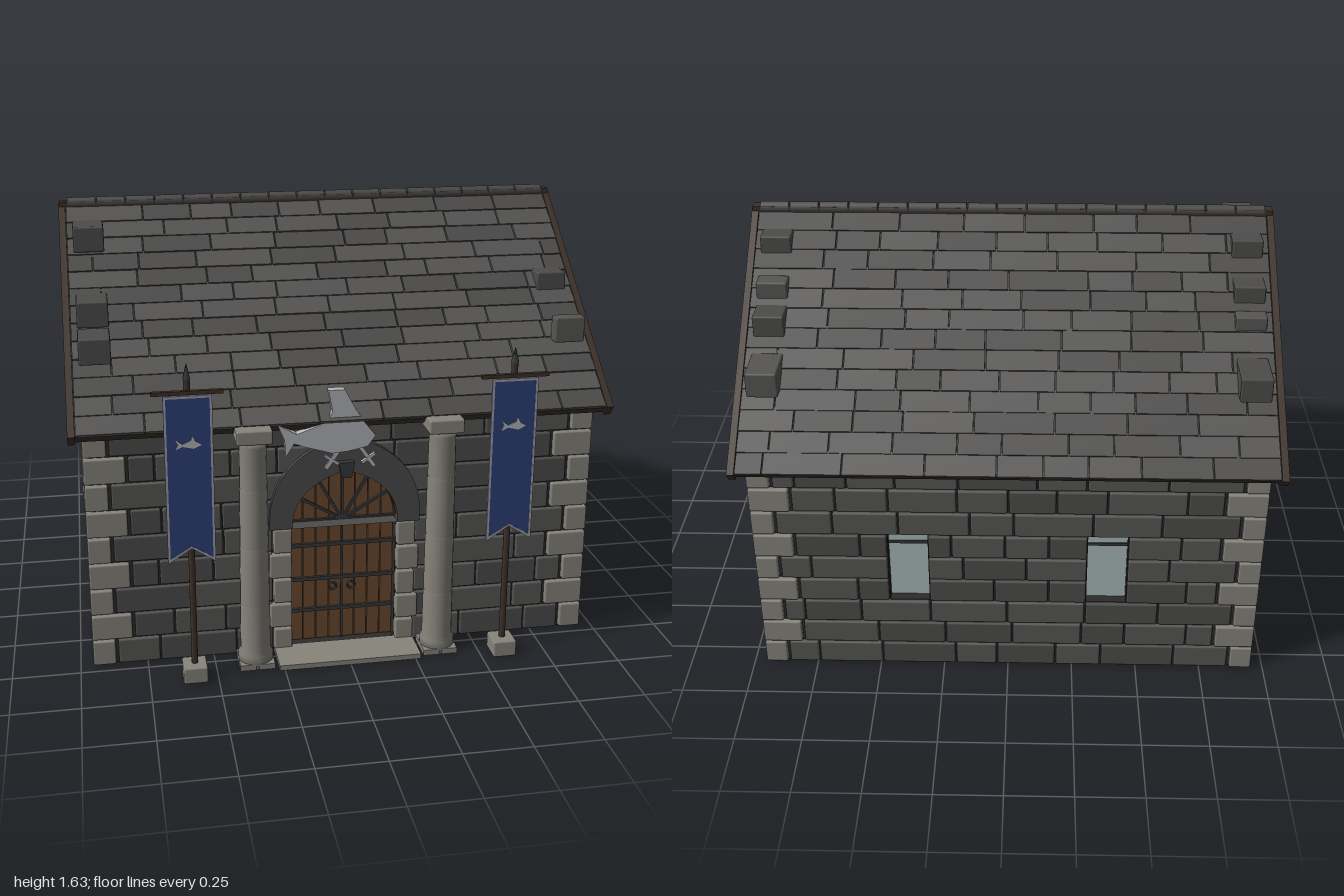
import * as THREE from 'three';
import { mergeGeometries } from 'three/addons/utils/BufferGeometryUtils.js';
import { RoundedBoxGeometry } from 'three/addons/geometries/RoundedBoxGeometry.js';

const ROW = 0.1035, ZC = -0.06, FRONT = 0.648, BACK = -0.768, ANG = 0.672, RIDGE = 1.585;
const COLORS = { stone: 0x575655, stoneDark: 0x4d4c4b, mortar: 0x2b2b2a, quoin: 0x87847c, roof: 0x545352, roofDark: 0x4b4a49,
  wood: 0x3d3028, door: 0x6b4a30, iron: 0x36383a, glass: 0xa9b9b8, cloth: 0x2c4078, trim: 0x9a9cab, silver: 0xb4b6ba };

export function createModel() {
  const root = new THREE.Group();
  const mats = {};
  for (const k in COLORS) mats[k] = new THREE.MeshStandardMaterial({ color: COLORS[k] });
  let seed = 7;
  const rnd = () => (seed = (seed * 16807) % 2147483647) / 2147483647;

  // Helpers
  const part = (name, mat, geos, parent = root) => {
    const mesh = new THREE.Mesh(mergeGeometries(geos.map(g => g.index ? g.toNonIndexed() : g)), mats[mat]);
    mesh.name = name;
    parent.add(mesh);
    return mesh;
  };
  const box = (w, h, d, x, y, z, rz = 0) => new THREE.BoxGeometry(w, h, d).rotateZ(rz).translate(x, y, z);
  const block = (w, h, d, x, y, z) => new RoundedBoxGeometry(w - 0.006, h - 0.006, d, 1, 0.007).translate(x, y, z);
  const cyl = (r0, r1, h, x, y, z, n = 10) => new THREE.CylinderGeometry(r0, r1, h, n).translate(x, y, z);
  const extrude = (shape, depth, z = 0) => new THREE.ExtrudeGeometry(shape, { depth, bevelEnabled: false, curveSegments: 10 }).translate(0, 0, z);
  const poly = pts => new THREE.Shape(pts.map(p => new THREE.Vector2(...p)));
  const arch = (path, c, hw, y0, spring, apex) => {
    const k = spring + (apex - spring) * 0.75;
    path.moveTo(c - hw, y0); path.lineTo(c + hw, y0); path.lineTo(c + hw, spring);
    path.quadraticCurveTo(c + hw, k, c, apex); path.quadraticCurveTo(c - hw, k, c - hw, spring);
    path.closePath();
    return path;
  };
  // Random stone lengths between a and b, leaving out the cut ranges
  const stones = (a, b, cuts, odd) => {
    const out = [];
    let from = a;
    for (const [c0, c1] of [...cuts, [b, b]]) {
      let p = from, first = odd;
      while (p < c0 - 0.002) {
        let l = (0.16 + 0.14 * rnd()) * (first ? 0.55 : 1);
        first = false;
        if (c0 - p - l < 0.07) l = c0 - p;
        out.push([p + l / 2, l]);
        p += l;
      }
      from = c1;
    }
    return out;
  };
  const pick = (lists, g) => lists[rnd() < 0.6 ? 0 : 1].push(g);

  // Long front and back walls with corner stones
  for (const [name, z] of [['front', FRONT], ['back', BACK]]) {
    const lists = [[], []], corners = [];
    for (let i = 0; i < 9; i++) {
      const y = (i + 0.5) * ROW, w = i % 2 ? 0.155 : 0.09;
      let cuts = [];
      if (name === 'front') {
        const hw = [0.27, 0.27, 0.27, 0.27, 0.27, 0.25, 0.2, 0.09, 0][i];
        if (hw) cuts = [[-hw, hw]];
      } else if (i > 2 && i < 6) cuts = [[-0.45, -0.3], [0.3, 0.45]];
      for (const [u, l] of stones(-0.95 + w, 0.95 - w, cuts, i % 2)) pick(lists, block(l, ROW, 0.12, u, y, z));
      for (const s of [-1, 1]) corners.push(block(w, ROW, 0.13, s * (0.955 - w / 2), y, z));
    }
    for (const s of [-1, 1]) corners.push(block(0.12, 0.06, 0.1, s * 0.89, 0.96, z - Math.sign(z) * 0.01));
    const core = poly([[-0.94, 0], [0.94, 0], [0.94, 0.97], [-0.94, 0.97]]);
    if (name === 'front') core.holes.push(arch(new THREE.Path(), 0, 0.2, 0.004, 0.5, 0.73));
    else for (const c of [-0.375, 0.375]) core.holes.push(poly([[c - 0.075, 0.31], [c + 0.075, 0.31], [c + 0.075, 0.62], [c - 0.075, 0.62]]));
    part(name + 'Mortar', 'mortar', [extrude(core, 0.09, z - 0.045)]);
    part(name + 'Stones', 'stone', lists[0]);
    part(name + 'DarkStones', 'stoneDark', lists[1]);
    part(name + 'CornerStones', 'quoin', corners);
  }
  part('backWindowGlass', 'glass', [-0.375, 0.375].map(x => box(0.15, 0.31, 0.02, x, 0.465, BACK)));
  part('backWindowFrames', 'iron', [-0.375, 0.375].flatMap(x => [box(0.15, 0.012, 0.03, x, 0.56, BACK), box(0.15, 0.015, 0.06, x, 0.613, BACK)]));

  // Gable walls, with stepped stones rising through the roof: [z0, z1, top]
  const steps = {
    '-1': [[-0.7, -0.54, 1.238], [-0.46, -0.4, 1.36], [-0.37, -0.22, 1.44], [-0.22, -0.14, 1.56], [0, 0.16, 1.56], [0.28, 0.43, 1.335], [0.43, 0.585, 1.238]],
    '1': [[-0.7, -0.54, 1.238], [-0.49, -0.37, 1.36], [-0.37, -0.3, 1.44], [-0.22, -0.14, 1.56], [0.26, 0.35, 1.36], [0.53, 0.585, 1.238]],
  };
  const windows = [-0.41, 0.3];
  for (const s of [-1, 1]) {
    const side = s > 0 ? 'left' : 'right', x = s * 0.89, lists = [[], []];
    for (let i = 0; i < 15; i++) {
      const y = (i + 0.5) * ROW, half = Math.min(0.646, (1.57 - y) / 0.795);
      if (half < 0.04) continue;
      const cuts = i > 1 && i < 7 ? windows.map(c => [c - 0.085, c + 0.085]) : [];
      for (const [u, l] of stones(ZC - half, ZC + half, cuts, i % 2)) pick(lists, block(0.12, ROW, l, x, y, u));
    }
    for (const [a, b, top] of steps[s]) pick(lists, block(0.122, 0.104, b - a, x, top - 0.052, (a + b) / 2));
    part(side + 'GableStones', 'stone', lists[0]);
    part(side + 'GableDarkStones', 'stoneDark', lists[1]);

    const core = poly([[BACK, 0], [FRONT, 0], [FRONT, 0.98], [ZC, 1.56], [BACK, 0.98]]);
    const turn = g => g.rotateY(-Math.PI / 2);
    const glass = [], bars = [], ring = [];
    for (const c of windows) {
      core.holes.push(arch(new THREE.Path(), c, 0.085, 0.207, 0.57, 0.7));
      glass.push(turn(extrude(arch(new THREE.Shape(), c, 0.085, 0.285, 0.57, 0.685), 0.014)).translate(x + 0.007, 0, 0));
      for (const d of [-0.082, -0.03, 0.03, 0.082]) bars.push(box(0.026, 0.34 - Math.abs(d) * 0.6 + 0.03, 0.006, x, 0.455, c + d));
      bars.push(box(0.05, 0.014, 0.17, x, 0.285, c));
      // Arch stones fan round the head of the window
      for (let k = -3; k <= 3; k++) {
        const a = k * 0.52;
        ring.push(new RoundedBoxGeometry(0.14, 0.045, 0.047, 1, 0.006).rotateX(a)
          .translate(x, 0.575 + Math.cos(a) * 0.105 + (k ? 0 : 0.018), c + Math.sin(a) * 0.1));
      }
    }
    part(side + 'GableMortar', 'mortar', [turn(extrude(core, 0.09)).translate(x + 0.045, 0, 0)]);
    part(side + 'WindowGlass', 'glass', glass);
    part(side + 'WindowBars', 'iron', bars);
    part(side + 'WindowArchStones', 'quoin', ring);
  }

  // Roof slopes: boarding, overlapping tiles, edge boards
  const LEN = 1.055, boards = [], deck = [], tiles = [[], []];
  for (const s of [-1, 1]) {
    const onSlope = (g, d, lift, tilt = 0) => g.rotateX(s * (ANG - tilt)).translate(0,
      RIDGE - Math.sin(ANG) * d + Math.cos(ANG) * lift, ZC + s * (Math.cos(ANG) * d + Math.sin(ANG) * lift));
    deck.push(onSlope(box(1.95, 0.024, LEN, 0, 0, 0), LEN / 2, 0));
    for (const x of [-0.986, 0.986]) boards.push(onSlope(box(0.026, 0.05, LEN + 0.02, x, 0, 0), LEN / 2, 0));
    boards.push(onSlope(box(1.95, 0.036, 0.016, 0, 0, 0), LEN - 0.006, -0.002));
    for (let i = 0; i < 13; i++) {
      const step = LEN / 13;
      for (const [u, l] of stones(-0.973, 0.973, [], i % 2))
        pick(tiles, onSlope(box(l - 0.005, 0.014, step + 0.012, u, 0, 0), (i + 0.5) * step, 0.017 + rnd() * 0.003, 0.07));
    }
  }
  part('roofBoarding', 'mortar', deck);
  part('roofTiles', 'roof', tiles[0]);
  part('roofDarkTiles', 'roofDark', tiles[1]);
  part('roofEdgeBoards', 'wood', [...boards, box(1.99, 0.03, 0.04, 0, 1.605, ZC)]);
  part('ridgeTiles', 'roofDark', Array.from({ length: 17 }, (_, i) =>
    new THREE.CylinderGeometry(0.023, 0.023, 0.108, 8).rotateZ(Math.PI / 2).translate(-0.91 + i * 0.1138, 1.612, ZC)));

  // Doorway: plank door, iron bands, jamb stones and pointed arch
  const planks = [], iron = [], jambs = [];
  const headY = x => 0.5 + 0.215 * Math.sqrt(Math.max(0, 1 - (x / 0.205) ** 2));
  for (let i = 0; i < 8; i++) {
    const a = -0.2 + i * 0.05 + 0.002, b = a + 0.046;
    planks.push(extrude(poly([[a, 0.012], [b, 0.012], [b, headY(b)], [(a + b) / 2, headY((a + b) / 2)], [a, headY(a)]]), 0.03, 0.625));
  }
  for (const y of [0.14, 0.27, 0.41, 0.51]) iron.push(box(0.4, 0.014, 0.012, 0, y, 0.659));
  iron.push(box(0.008, 0.5, 0.01, 0, 0.262, 0.657), extrude(arch(new THREE.Shape(), 0, 0.2, 0.012, 0.5, 0.73), 0.012, 0.63));
  for (let k = -2; k <= 2; k++) iron.push(box(0.01, 0.2, 0.012, Math.sin(k * 0.52) * 0.1, 0.51 + Math.cos(k * 0.52) * 0.1, 0.659, -k * 0.52));
  for (const x of [-0.036, 0.036]) iron.push(new THREE.TorusGeometry(0.014, 0.004, 6, 14).translate(x, 0.235, 0.666));
  for (const s of [-1, 1]) for (let i = 0; i < 5; i++) {
    const w = i % 2 ? 0.09 : 0.075;
    jambs.push(block(w, 0.102, 0.14, s * (0.198 + w / 2), (i + 0.5) * 0.102, 0.652));
  }
  const archRing = arch(new THREE.Shape(), 0, 0.285, 0.51, 0.54, 0.87);
  archRing.holes.push(arch(new THREE.Path(), 0, 0.2, 0.5101, 0.512, 0.73));
  part('doorPlanks', 'door', planks);
  part('doorIronwork', 'iron', iron);
  part('doorJambStones', 'quoin', jambs);
  part('doorArch', 'stoneDark', [extrude(archRing, 0.14, 0.585)]);
  part('doorKeystone', 'iron', [extrude(poly([[-0.018, 0.71], [0.018, 0.71], [0.03, 0.77], [-0.03, 0.77]]), 0.05, 0.7)]);
  part('doorStep', 'quoin', [box(0.54, 0.02, 0.16, 0, 0.01, 0.78)]);

  // Columns
  const profile = [[0, 0], [0.066, 0], [0.066, 0.05], [0.057, 0.065], [0.056, 0.24], [0.052, 0.245], [0.055, 0.25], [0.054, 0.47],
    [0.05, 0.475], [0.053, 0.48], [0.052, 0.7], [0.048, 0.705], [0.051, 0.71], [0.05, 0.87], [0.062, 0.895], [0, 0.895]];
  part('columns', 'quoin', [-0.35, 0.35].flatMap(x => [
    new THREE.LatheGeometry(profile.map(p => new THREE.Vector2(...p)), 18).translate(x, 0, 0.775),
    block(0.136, 0.06, 0.13, x, 0.917, 0.775), box(0.13, 0.022, 0.13, x, 0.011, 0.775)]));

  // Fish ornament over the door, with two crossed blades
  const fish = poly([[-0.26, 0.94], [-0.19, 0.9], [-0.08, 0.94], [-0.06, 0.98], [-0.075, 1.06], [-0.015, 1.06], [0.025, 0.985], [0.06, 0.93], [0.1, 0.88],
    [0.07, 0.84], [0, 0.825], [-0.06, 0.82], [-0.16, 0.85], [-0.2, 0.865], [-0.23, 0.815], [-0.235, 0.88]]);
  const blades = [-1, 1].flatMap(s => [box(0.014, 0.16, 0.01, 0.01 + s * 0.045, 0.82, 0.755, s * 0.6),
    box(0.06, 0.01, 0.014, 0.01 + s * 0.068, 0.787, 0.755, s * 0.6)]);
  part('fishOrnament', 'silver', [extrude(fish, 0.034, 0.743), ...blades]);

  // Banners on standing poles
  const tail = e => [[-0.085 + e, 1.1 - e], [-0.085 + e, 0.475 + e * 2], [0, 0.53 + e], [0.085 - e, 0.475 + e * 2], [0.085 - e, 1.1 - e]];
  for (const s of [-1, 1]) {
    const g = new THREE.Group();
    g.name = s > 0 ? 'leftBanner' : 'rightBanner';
    g.position.x = s * 0.585;
    const border = poly(tail(0));
    border.holes.push(poly(tail(0.009)));
    part('bannerFoot', 'quoin', [block(0.095, 0.07, 0.095, 0, 0.034, 0.857)], g);
    part('bannerPole', 'wood', [cyl(0.012, 0.012, 1.1, 0, 0.61, 0.857), box(0.25, 0.014, 0.016, 0, 1.11, 0.868)], g);
    part('poleSpike', 'iron', [cyl(0.001, 0.015, 0.055, 0, 1.183, 0.857, 6)], g);
    part('bannerCloth', 'cloth', [extrude(poly(tail(0.004)), 0.006, 0.87)], g);
    part('bannerTrim', 'trim', [extrude(border, 0.009, 0.8685)], g);
    part('bannerFish', 'silver', [extrude(poly([[-0.055, 0.945], [-0.03, 0.925], [0, 0.938], [0.005, 0.955], [0.015, 0.935], [0.038, 0.922],
      [0.01, 0.908], [-0.03, 0.917], [-0.055, 0.905], [-0.045, 0.925]].map(([a, b]) => [a + 0.008, b])), 0.004, 0.876)], g);
    root.add(g);
  }
  return root;
}
